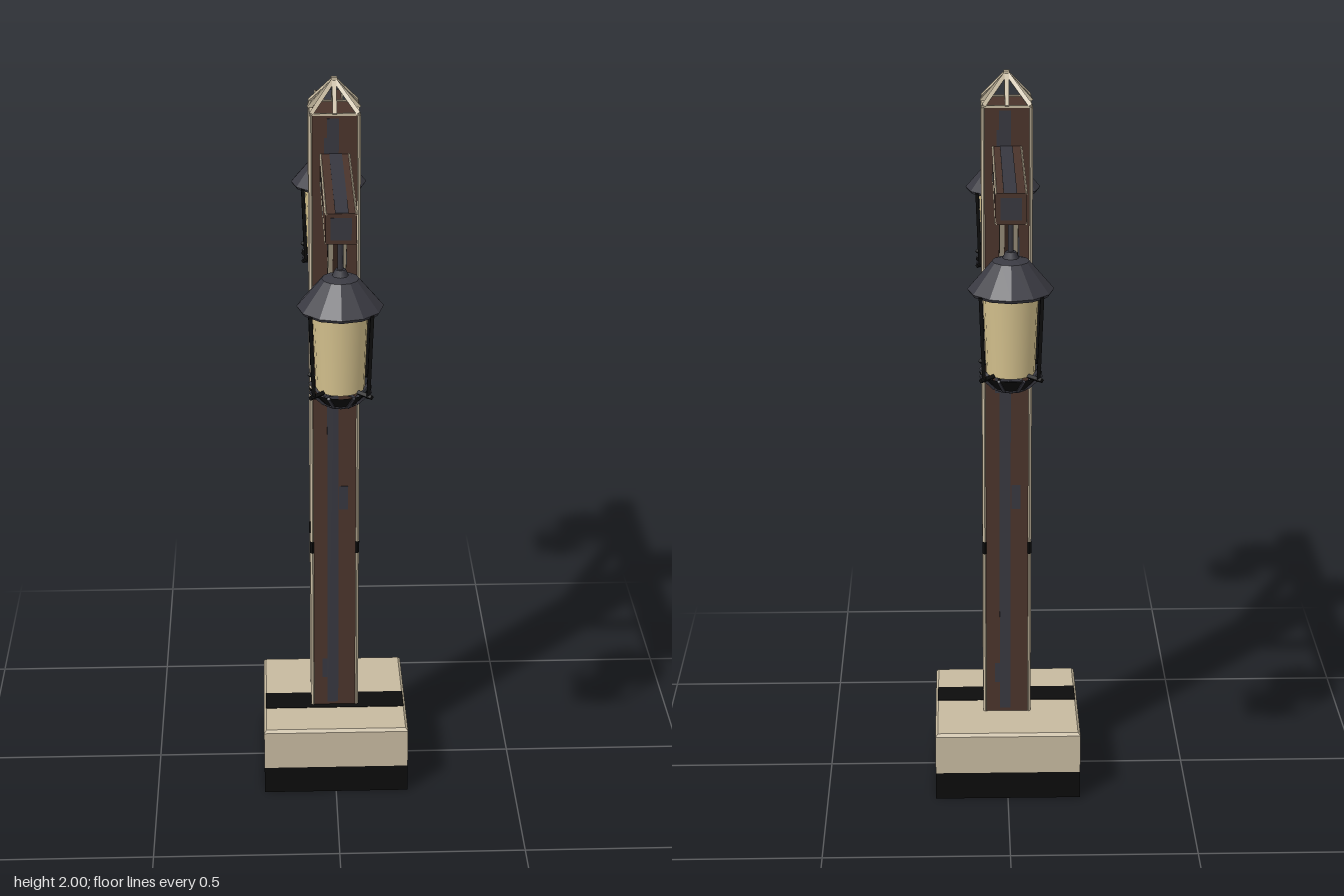
import * as THREE from 'three';

const mat = (name, color, extra = {}) => {
  const m = new THREE.MeshStandardMaterial({ color, ...extra });
  m.name = name;
  return m;
};

export function createModel() {
  const brown = mat('brown wood', 0x4a342b);
  const slate = mat('slate', 0x37373f);
  const roofGrey = mat('roof grey', 0x3a3a42, { flatShading: true, side: THREE.DoubleSide });
  const tan = mat('tan stone', 0xc6b99f);
  const black = mat('black', 0x0c0c0c, { side: THREE.DoubleSide });
  const glass = mat('warm glass', 0xd2bf8c);

  const model = new THREE.Group();
  model.name = 'lampPost';

  const add = (parent, name, geo, material, x = 0, y = 0, z = 0) => {
    const m = new THREE.Mesh(geo, material);
    m.name = name;
    m.position.set(x, y, z);
    parent.add(m);
    return m;
  };
  const box = (parent, name, material, w, h, d, x, y, z) =>
    add(parent, name, new THREE.BoxGeometry(w, h, d), material, x, y, z);
  // Square bar running from point a to point b
  const bar = (parent, name, material, a, b, w, d = w) => {
    const p = new THREE.Vector3(...a), q = new THREE.Vector3(...b);
    const m = box(parent, name, material, w, p.distanceTo(q), d, 0, 0, 0);
    m.position.copy(p).add(q).multiplyScalar(0.5);
    m.quaternion.setFromUnitVectors(new THREE.Vector3(0, 1, 0), q.sub(p).normalize());
    return m;
  };
  // Hollow square wall from y0 to y1
  const frame = (name, material, outer, inner, y0, y1) => {
    const square = (T, r) => new T([[-r, -r], [r, -r], [r, r], [-r, r]].map(p => new THREE.Vector2(...p)));
    const s = square(THREE.Shape, outer);
    s.holes.push(square(THREE.Path, inner));
    const g = new THREE.ExtrudeGeometry(s, { depth: y1 - y0, bevelEnabled: false });
    add(model, name, g.rotateX(-Math.PI / 2), material, 0, y0, 0);
  };

  // Base: hollow block with a dark lower band and a stripe across its top
  frame('baseBand', black, 0.2, 0.15, 0, 0.08);
  frame('baseWall', tan, 0.2, 0.15, 0.08, 0.15);
  frame('baseLining', tan, 0.1505, 0.147, 0.001, 0.15);
  box(model, 'baseLid', tan, 0.4, 0.042, 0.4, 0, 0.171, 0);
  const chamfer = new THREE.CylinderGeometry(0.193 * Math.SQRT2, 0.2 * Math.SQRT2, 0.008, 4).toNonIndexed();
  chamfer.computeVertexNormals();
  add(model, 'baseChamfer', chamfer.rotateY(Math.PI / 4), tan, 0, 0.196, 0);
  box(model, 'baseStripe', black, 0.388, 0.002, 0.08, 0, 0.2005, 0.04);

  // Post with grain on each face and pale worn corners
  box(model, 'post', brown, 0.126, 1.72, 0.126, 0, 1.06, 0);
  const patches = [[0.85, 0.024, 0.07], [0.32, -0.022, 0.06], [1.2, -0.02, 0.1], [1.55, 0.02, 0.06], [1.82, -0.015, 0.08]];
  for (let i = 0; i < 4; i++) {
    const side = new THREE.Group();
    side.name = 'postSide';
    side.rotation.y = i * Math.PI / 2;
    model.add(side);
    box(side, 'postGrain', slate, 0.03, 1.7, 0.002, -0.005, 1.06, 0.063);
    for (const [y, x, h] of patches) box(side, 'grainPatch', slate, 0.024, h, 0.002, x, y, 0.0629);
    const corner = (name, m, w, h, y) => {
      box(side, name, m, w, h, w, 0.0605, y, 0.0605).rotation.y = Math.PI / 4;
    };
    corner('postCorner', tan, 0.008, 1.72, 1.06);
    for (const y of [0.7, 1.34]) corner('cornerNick', black, 0.0095, 0.035, y);
    // Finial cage: rim, corner rib and middle rib
    box(side, 'finialRim', tan, 0.128, 0.006, 0.007, 0, 1.92, 0.06);
    bar(side, 'finialRib', tan, [0.06, 1.921, 0.06], [0, 1.994, 0], 0.011);
    bar(side, 'finialRib', tan, [0, 1.921, 0.064], [0, 1.994, 0], 0.011);
  }
  box(model, 'finialTip', tan, 0.016, 0.012, 0.016, 0, 1.994, 0);

  // Cross arm with grain and pale edges
  box(model, 'arm', brown, 0.074, 0.076, 1.056, 0, 1.78, 0);
  box(model, 'armTopGrain', slate, 0.032, 0.002, 1.05, 0.002, 1.818, 0);
  for (const sx of [-1, 1]) {
    for (const y of [1.744, 1.816]) {
      box(model, 'armEdge', tan, 0.005, 0.005, 1.056, sx * 0.0355, y, 0).rotation.z = Math.PI / 4;
    }
    for (const z of [0.33, 0.17, -0.17, -0.35]) {
      box(model, 'armGrain', slate, 0.002, 0.06, 0.035, sx * 0.037, 1.78, z);
    }
  }

  // One half: brace and hanging lantern, turned for the other side
  for (const turn of [0, Math.PI]) {
    const half = new THREE.Group();
    half.name = turn ? 'backArmSet' : 'frontArmSet';
    half.rotation.y = turn;
    model.add(half);
    box(half, 'armEnd', slate, 0.05, 0.055, 0.002, 0, 1.78, 0.528);

    // Brace: pale timber with dark grooves and a dark foot
    const brace = new THREE.Group();
    brace.name = 'brace';
    brace.position.set(0, 1.54, 0.19);
    brace.rotation.x = Math.atan2(0.24, 0.41);
    half.add(brace);
    box(brace, 'braceTimber', tan, 0.046, 0.49, 0.042, 0, 0, 0);
    for (const s of [-1, 1]) {
      box(brace, 'braceGroove', brown, 0.002, 0.48, 0.014, s * 0.023, 0, 0);
      box(brace, 'braceGroove', brown, 0.022, 0.48, 0.002, 0, 0, s * 0.021);
      box(brace, 'braceFoot', black, 0.003, 0.045, 0.03, s * 0.023, -0.2, 0);
    }

    const lantern = new THREE.Group();
    lantern.name = 'lantern';
    lantern.position.z = 0.48;
    half.add(lantern);
    add(lantern, 'hanger', new THREE.CylinderGeometry(0.007, 0.007, 0.11, 8), slate, 0, 1.695, 0);
    add(lantern, 'hangerCollar', new THREE.CylinderGeometry(0.013, 0.02, 0.016, 8), slate, 0, 1.655, 0);
    const roof = [[0.1, 1.562], [0.105, 1.57], [0.045, 1.64], [0.001, 1.652]].map(p => new THREE.Vector2(...p));
    add(lantern, 'roof', new THREE.LatheGeometry(roof, 12), roofGrey);
    add(lantern, 'roofUnderside', new THREE.CylinderGeometry(0.098, 0.098, 0.004, 12), black, 0, 1.567, 0);
    add(lantern, 'glass', new THREE.CylinderGeometry(0.068, 0.06, 0.21, 16), glass, 0, 1.463, 0);

    // Frame bars on the diagonals, with small feet
    for (let i = 0; i < 4; i++) {
      const a = Math.PI / 4 + i * Math.PI / 2, s = Math.sin(a), c = Math.cos(a);
      bar(lantern, 'frameBar', black, [0.104 * s, 1.57, 0.104 * c], [0.093 * s, 1.355, 0.093 * c], 0.009);
      bar(lantern, 'frameFoot', black, [0.06 * s, 1.36, 0.06 * c], [0.105 * s, 1.36, 0.105 * c], 0.009);
    }

    // Open bowl below the glass, in two sectors, with ribs
    const bowl = [[0.042, 1.32], [0.078, 1.358]].map(p => new THREE.Vector2(...p));
    const rad = Math.PI / 180;
    add(lantern, 'bowlOuter', new THREE.LatheGeometry(bowl, 8, -95 * rad, 190 * rad), black);
    add(lantern, 'bowlInner', new THREE.LatheGeometry(bowl, 4, 140 * rad, 80 * rad), black);
    const rim = new THREE.TorusGeometry(0.042, 0.004, 4, 12).rotateX(Math.PI / 2);
    add(lantern, 'bowlRim', rim, slate, 0, 1.32, 0);
    for (let i = 0; i < 8; i++) {
      const a = (i + 0.5) * Math.PI / 4, s = Math.sin(a), c = Math.cos(a);
      bar(lantern, 'bowlRib', slate, [0.043 * s, 1.32, 0.043 * c], [0.08 * s, 1.358, 0.08 * c], 0.007);
    }
  }
  return model;
}
